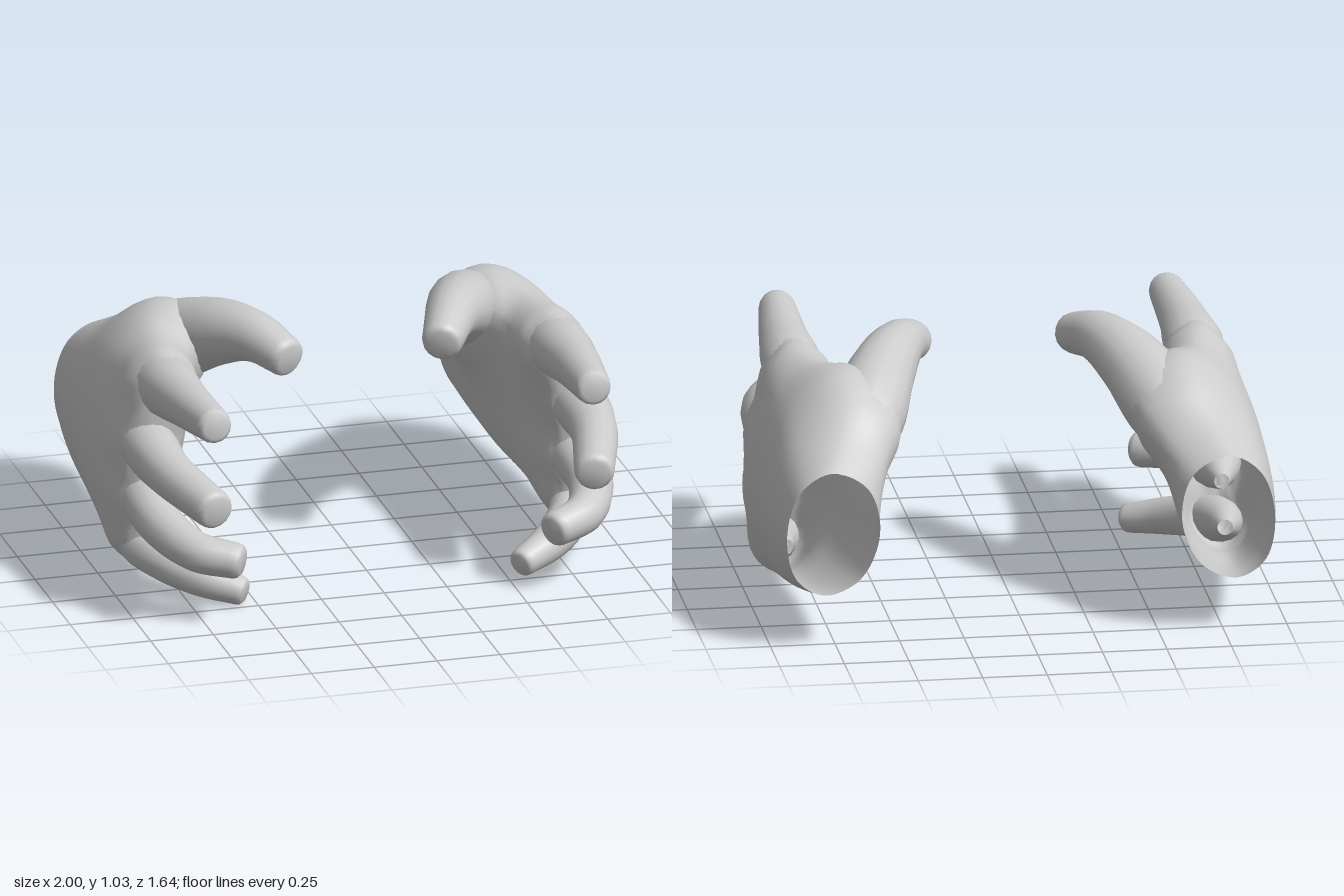
import * as THREE from 'three';

const material = new THREE.MeshStandardMaterial({ color: 0xcccccc, side: THREE.DoubleSide });
const V = (x, y, z) => new THREE.Vector3(x, y, z);

// Skin a list of equal-length rings, open at the start and capped at the end; side = -1 mirrors it.
function loft(name, rings, side) {
  const n = rings[0].length, pos = [], index = [];
  const tri = (a, b, c) => (side > 0 ? index.push(a, b, c) : index.push(a, c, b));
  rings.forEach(ring => ring.forEach(p => pos.push(p.x * side, p.y, p.z)));
  for (let i = 0; i < rings.length - 1; i++) {
    for (let j = 0; j < n; j++) {
      const a = i * n + j, b = i * n + (j + 1) % n;
      tri(a, a + n, b);
      tri(b, a + n, b + n);
    }
  }
  const last = rings[rings.length - 1], start = (rings.length - 1) * n;
  const mid = last.reduce((s, p) => s.add(p), V(0, 0, 0)).divideScalar(n);
  pos.push(mid.x * side, mid.y, mid.z);
  for (let j = 0; j < n; j++) tri(start + n, start + (j + 1) % n, start + j);

  const geometry = new THREE.BufferGeometry();
  geometry.setAttribute('position', new THREE.Float32BufferAttribute(pos, 3));
  geometry.setIndex(index);
  geometry.computeVertexNormals();
  const mesh = new THREE.Mesh(geometry, material);
  mesh.name = name;
  return mesh;
}

// Finger paths as [x, y, z, radius]; each starts thin, buried in the palm, and flares at the knuckle.
const fingers = {
  thumb: [[0.7, 0.66, -0.56, 0.06], [0.595, 0.765, -0.4, 0.15], [0.48, 0.89, -0.14, 0.13],
    [0.39, 0.93, 0.05, 0.1], [0.315, 0.9, 0.205, 0.08]],
  indexFinger: [[0.78, 0.77, -0.12, 0.05], [0.78, 0.815, 0.16, 0.115], [0.775, 0.845, 0.45, 0.095], [0.755, 0.87, 0.77, 0.07]],
  middleFinger: [[0.84, 0.58, -0.12, 0.04], [0.855, 0.585, 0.18, 0.105], [0.845, 0.57, 0.46, 0.092], [0.76, 0.53, 0.775, 0.078]],
  ringFinger: [[0.84, 0.38, -0.12, 0.03], [0.855, 0.365, 0.16, 0.1], [0.85, 0.325, 0.4, 0.087],
    [0.77, 0.285, 0.59, 0.078], [0.64, 0.265, 0.67, 0.07]],
  littleFinger: [[0.85, 0.2, -0.14, 0.03], [0.865, 0.16, 0.07, 0.083], [0.81, 0.13, 0.23, 0.084],
    [0.69, 0.09, 0.375, 0.073], [0.565, 0.058, 0.462, 0.057]],
};

// Evenly spaced centres, directions and radii along a finger.
function trace(points, steps) {
  const path = new THREE.CatmullRomCurve3(points.map(p => V(p[0], p[1], p[2])));
  const radii = new THREE.CatmullRomCurve3(points.map((p, i) => V(p[3], i, 0)));
  return Array.from({ length: steps + 1 }, (_, i) => {
    const t = i / steps;
    return { centre: path.getPoint(t), dir: path.getTangent(t), r: radii.getPoint(t).x };
  });
}

// Finger: a round tube with a blunt, slightly chamfered tip.
function finger(name, points, side) {
  const sides = 16, stations = trace(points, 24);
  const { centre: end, dir: aim, r: tip } = stations[stations.length - 1];
  for (const [d, k] of [[0.28, 0.92], [0.45, 0.7]]) {
    stations.push({ centre: end.clone().addScaledVector(aim, d * tip), dir: aim, r: k * tip });
  }
  const rings = stations.map(({ centre, dir, r }) => {
    const across = V(0, 1, 0).cross(dir).normalize();
    const up = dir.clone().cross(across);
    return Array.from({ length: sides }, (_, j) => {
      const a = j / sides * Math.PI * 2;
      return centre.clone().addScaledVector(up, r * Math.cos(a)).addScaledVector(across, r * Math.sin(a));
    });
  });
  return loft(name, rings, side);
}

// Palm cross-sections from wrist to knuckles: z, then [x, y] from the top round the back of the hand.
const palmSections = [
  [-0.82, [0.77, 0.71], [0.89, 0.64], [0.945, 0.47], [0.91, 0.29], [0.80, 0.22], [0.66, 0.28], [0.585, 0.46], [0.63, 0.64]],
  [-0.6, [0.70, 0.825], [0.89, 0.72], [0.975, 0.47], [0.93, 0.24], [0.82, 0.17], [0.67, 0.25], [0.575, 0.5], [0.525, 0.74]],
  [-0.35, [0.69, 0.95], [0.89, 0.80], [0.99, 0.47], [0.94, 0.2], [0.84, 0.12], [0.69, 0.22], [0.59, 0.5], [0.475, 0.83]],
  [-0.1, [0.74, 0.935], [0.90, 0.81], [1.0, 0.45], [0.95, 0.17], [0.86, 0.09], [0.71, 0.22], [0.64, 0.5], [0.61, 0.85]],
  [0.08, [0.78, 0.915], [0.89, 0.81], [0.98, 0.45], [0.94, 0.16], [0.86, 0.08], [0.73, 0.2], [0.69, 0.5], [0.67, 0.83]],
  [0.17, [0.78, 0.9], [0.87, 0.8], [0.935, 0.45], [0.92, 0.19], [0.86, 0.11], [0.78, 0.2], [0.76, 0.5], [0.70, 0.82]],
  [0.2, [0.78, 0.87], [0.84, 0.77], [0.89, 0.45], [0.88, 0.22], [0.86, 0.16], [0.82, 0.23], [0.79, 0.5], [0.74, 0.79]],
];

function palm(side) {
  const around = 48, along = 40;
  const sections = palmSections.map(([z, ...outline]) => {
    // the knuckle line slants: further forward at the index finger
    const pts = outline.map(([x, y]) => V(x, y, z > 0 ? z + (y - 0.5) * 0.12 : z));
    return new THREE.CatmullRomCurve3(pts, true).getPoints(around).slice(0, around);
  });
  const rails = sections[0].map((_, j) => new THREE.CatmullRomCurve3(sections.map(s => s[j])));
  const rings = [];
  for (let i = 0; i <= along; i++) rings.push(rails.map(rail => rail.getPoint(i / along)));
  const mesh = loft('palm', rings, side);

  // swell the skin where it meets a finger, making knuckles and webs
  const reach = 0.11, balls = Object.values(fingers).flatMap(points => trace(points, 40));
  const { position, normal } = mesh.geometry.attributes;
  for (let i = 0; i < position.count; i++) {
    const p = V(position.getX(i) * side, position.getY(i), position.getZ(i));
    const gap = Math.min(...balls.map(b => Math.abs(p.distanceTo(b.centre) - b.r)));
    const swell = reach / 4 * Math.max(0, 1 - gap / reach) ** 2;
    position.setXYZ(i, position.getX(i) + normal.getX(i) * swell,
      p.y + normal.getY(i) * swell, p.z + normal.getZ(i) * swell);
  }
  mesh.geometry.computeVertexNormals();
  return mesh;
}

function hand(name, side) {
  const group = new THREE.Group();
  group.name = name;
  group.add(palm(side));
  for (const [part, points] of Object.entries(fingers)) group.add(finger(part, points, side));
  return group;
}

export function createModel() {
  const model = new THREE.Group();
  model.name = 'handPair';
  model.add(hand('leftHand', 1), hand('rightHand', -1));
  return model;
}
